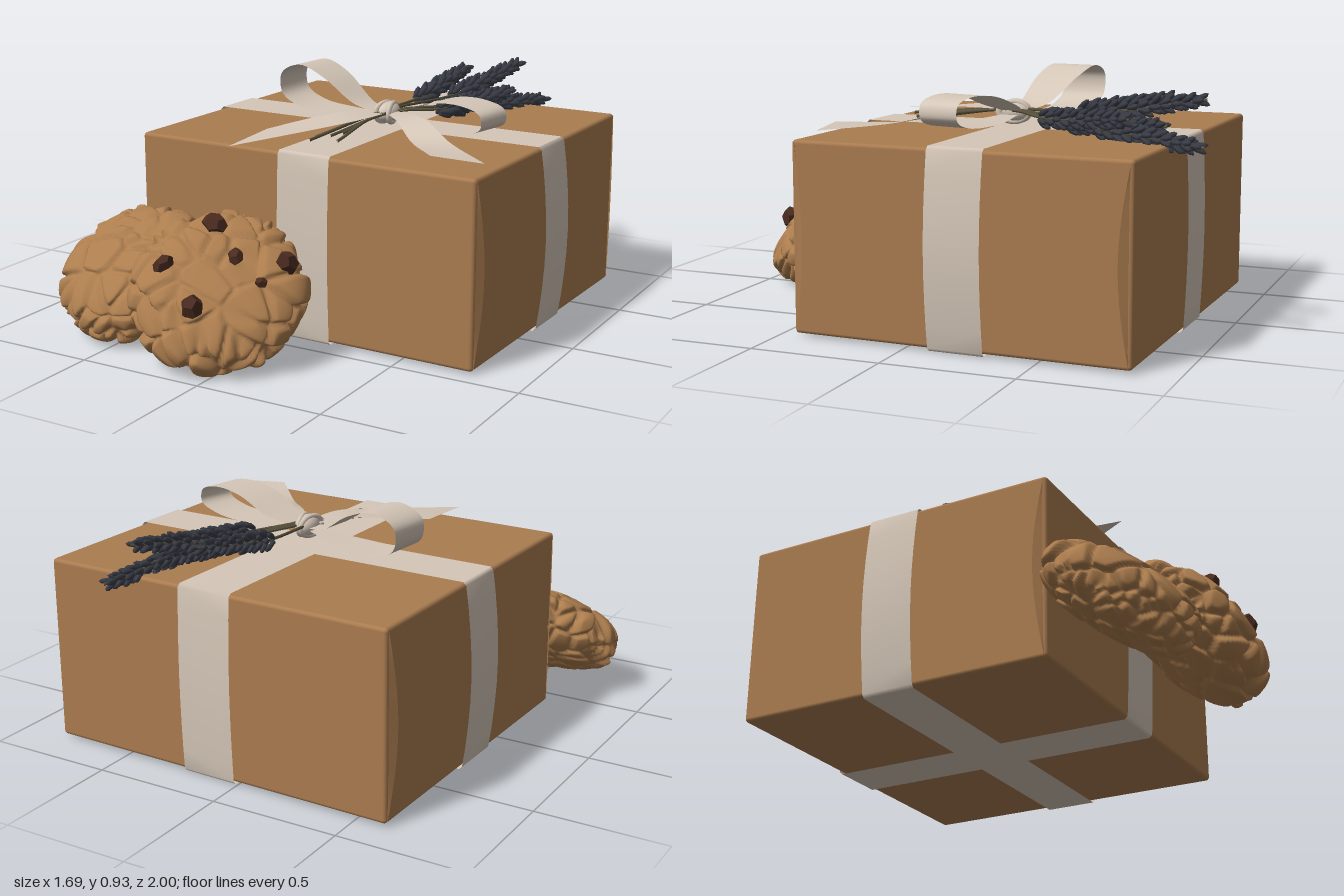
import * as THREE from 'three';
import { mergeVertices, mergeGeometries } from 'three/addons/utils/BufferGeometryUtils.js';
import { RoundedBoxGeometry } from 'three/addons/geometries/RoundedBoxGeometry.js';

const V = (x, y, z) => new THREE.Vector3(x, y, z);
const Y = V(0, 1, 0);

function material(name, color, side = THREE.FrontSide) {
  const m = new THREE.MeshStandardMaterial({ color, side });
  m.name = name;
  return m;
}

function seeded(seed) {
  return () => (seed = (seed * 16807) % 2147483647) / 2147483647;
}

function add(parent, name, geometry, mat) {
  const mesh = new THREE.Mesh(geometry, mat);
  mesh.name = name;
  parent.add(mesh);
  return mesh;
}

// Surface between two edge lines, given as equal lists of points
function sheet(a, b) {
  const pos = [], index = [];
  a.forEach((p, i) => {
    pos.push(p.x, p.y, p.z, b[i].x, b[i].y, b[i].z);
    const k = i * 2;
    if (i < a.length - 1) index.push(k, k + 1, k + 2, k + 1, k + 3, k + 2);
  });
  const g = new THREE.BufferGeometry();
  g.setAttribute('position', new THREE.Float32BufferAttribute(pos, 3));
  g.setIndex(index);
  g.computeVertexNormals();
  return g;
}
const smooth = (pts, n = 48) => new THREE.CatmullRomCurve3(pts).getPoints(n);

// Ribbon along centre points [x, y, z, half width], spread along one direction
function ribbon(path, across) {
  const edge = s => smooth(path.map(([x, y, z, w]) => V(x, y, z).addScaledVector(across, s * w)));
  return sheet(edge(1), edge(-1));
}

// Band around the box: half length a, bulging outward on the sides
function band(a, width, bulge, offset, turned) {
  const c = 0.012, top = 0.727, low = 0.003, pts = [[a - c, top], [a, top - c]];
  for (let i = 1; i < 8; i++) pts.push([a + bulge * Math.sin(i / 8 * Math.PI), top - (top - low) * i / 8]);
  pts.push([a, low + c], [a - c, low]);
  const loop = [...pts, ...pts.slice().reverse().map(([x, y]) => [-x, y]), pts[0]];
  const edge = s => loop.map(([u, y]) => turned ? V(offset + s * width / 2, y, u) : V(u, y, offset + s * width / 2));
  return sheet(edge(1), edge(-1));
}

// Cracked cookie: rounded disc with sunken lines between irregular cells
function cookieSurface(d, R, h) {
  const p = 2.5, rho = Math.hypot(d.x, d.z);
  const k = Math.pow(Math.pow(rho, p) + Math.pow(Math.abs(d.y), p), -1 / p);
  return V(d.x * R * k, d.y * h * k, d.z * R * k);
}
function cookieGeometry(R, h, seed) {
  const rnd = seeded(seed), cells = [];
  for (let i = 0; i < 85; i++) {
    const y = rnd() * 2 - 1, t = rnd() * Math.PI * 2, r = Math.sqrt(1 - y * y);
    cells.push({ p: cookieSurface(V(r * Math.cos(t), y, r * Math.sin(t)), R, h), lift: rnd() * 0.05 });
  }
  let g = new THREE.IcosahedronGeometry(1, 36);
  g.deleteAttribute('uv');
  g.deleteAttribute('normal');
  g = mergeVertices(g);
  const pos = g.attributes.position, d = V(0, 0, 0);
  for (let i = 0; i < pos.count; i++) {
    const s = cookieSurface(d.fromBufferAttribute(pos, i), R, h);
    let d1 = 9, d2 = 9, lift = 0;
    for (const c of cells) {
      const q = c.p.distanceTo(s);
      if (q < d1) { d2 = d1; d1 = q; lift = c.lift; } else if (q < d2) d2 = q;
    }
    const crack = Math.exp(-(((d2 - d1) / 0.016) ** 2));
    s.multiplyScalar(1 - 0.03 + lift * (1 - crack) - 0.07 * crack);
    pos.setXYZ(i, s.x, s.y, s.z);
  }
  g.computeVertexNormals();
  return g;
}

// Flower head: whorls of small pointed buds from base to tip
function flowerHead(base, tip, seed) {
  const rnd = seeded(seed), buds = [], axis = tip.clone().sub(base);
  const turn = new THREE.Quaternion().setFromUnitVectors(Y, axis.clone().normalize());
  const rows = 11;
  for (let i = 0; i < rows; i++) {
    const t = i / (rows - 1), count = i === rows - 1 ? 3 : 6, r = 0.027 * (1 - 0.6 * t * t);
    for (let j = 0; j < count; j++) {
      const a = (j + rnd() * 0.5 + i * 0.5) / count * Math.PI * 2;
      const out = V(Math.cos(a), 1.5 + rnd(), Math.sin(a)).normalize();
      const g = new THREE.SphereGeometry(1, 5, 4).scale(0.012, 0.034, 0.012);
      g.applyQuaternion(new THREE.Quaternion().setFromUnitVectors(Y, out));
      g.translate(Math.cos(a) * r, 0, Math.sin(a) * r).applyQuaternion(turn);
      const c = base.clone().addScaledVector(axis, t * 0.93);
      buds.push(g.translate(c.x, c.y, c.z));
    }
  }
  return mergeGeometries(buds);
}

export function createModel() {
  const model = new THREE.Group();
  model.name = 'giftBoxWithCookies';
  const paper = material('kraft paper', 0xaa7c50, THREE.DoubleSide);
  const cloth = material('cream ribbon', 0xd5c7b8, THREE.DoubleSide);
  const dough = material('cookie dough', 0xac7d4e);
  const chocolate = material('chocolate', 0x4a2b20);
  const flower = material('dried flower', 0x3a3d47);
  const stalk = material('stem', 0x5a533c);

  // Wrapped box, turned slightly
  const parcel = new THREE.Group();
  parcel.name = 'parcel';
  parcel.position.set(0.085, 0, -0.215);
  parcel.rotation.y = -0.021;
  model.add(parcel);
  add(parcel, 'box', new RoundedBoxGeometry(1.44, 0.708, 1.28, 2, 0.014), paper).position.y = 0.366;

  // Paper folds standing off the corners
  for (const sx of [-1, 1]) for (const sz of [-1, 1]) {
    const a = [], b = [];
    for (let i = 0; i <= 12; i++) {
      const t = i / 12, y = 0.02 + 0.69 * t, s = Math.sin(t * Math.PI);
      a.push(V(sx * 0.718, y, sz * 0.628));
      b.push(V(sx * (0.721 + 0.018 * s), y, sz * (0.628 - 0.035 * s)));
    }
    add(parcel, 'paperFold', sheet(a, b), paper);
  }

  // Crossing bands
  add(parcel, 'lengthBand', band(0.645, 0.22, 0.012, 0.02, true), cloth);
  add(parcel, 'crossBand', band(0.727, 0.21, 0.03, 0.0, false), cloth);

  // Bow
  const bow = new THREE.Group();
  bow.name = 'bow';
  model.add(bow);
  add(bow, 'rightLoop', ribbon([
    [0.12, 0.775, -0.16, 0.025], [0.0, 0.80, -0.19, 0.06], [-0.15, 0.89, -0.23, 0.085],
    [-0.28, 0.928, -0.26, 0.09], [-0.37, 0.885, -0.27, 0.09], [-0.365, 0.805, -0.265, 0.09],
    [-0.28, 0.762, -0.25, 0.09], [-0.1, 0.755, -0.21, 0.07], [0.12, 0.77, -0.16, 0.025],
  ], V(-0.1, 0, 1).normalize()), cloth);
  add(bow, 'leftLoop', ribbon([
    [0.14, 0.775, -0.16, 0.025], [0.25, 0.81, -0.15, 0.08], [0.4, 0.862, -0.11, 0.085],
    [0.54, 0.87, -0.075, 0.08], [0.62, 0.845, -0.06, 0.08], [0.625, 0.795, -0.06, 0.08],
    [0.55, 0.762, -0.07, 0.08], [0.35, 0.755, -0.11, 0.08], [0.14, 0.77, -0.16, 0.025],
  ], V(-0.2, 0, 1).normalize()), cloth);
  add(bow, 'rightTail', sheet(
    smooth([V(0.1, 0.785, -0.15), V(0.0, 0.79, -0.02), V(-0.09, 0.775, 0.1), V(-0.19, 0.75, 0.23)]),
    smooth([V(0.15, 0.785, -0.13), V(0.12, 0.785, 0.06), V(0.0, 0.765, 0.24), V(-0.19, 0.735, 0.5)])), cloth);
  add(bow, 'leftTail', sheet(
    smooth([V(0.13, 0.78, -0.13), V(0.25, 0.785, 0.0), V(0.4, 0.755, 0.17), V(0.58, 0.765, 0.37)]),
    smooth([V(0.17, 0.785, -0.16), V(0.35, 0.8, -0.03), V(0.55, 0.765, 0.15), V(0.78, 0.755, 0.345)])), cloth);
  const knot = add(bow, 'knot', new THREE.SphereGeometry(1, 20, 14), cloth);
  knot.scale.set(0.042, 0.042, 0.062);
  knot.position.set(0.13, 0.778, -0.16);
  for (const s of [-1, 1]) {
    const wrap = add(bow, 'knotWrap', new THREE.TorusGeometry(0.038, 0.01, 8, 24), cloth);
    wrap.position.set(0.13 + s * 0.017, 0.778, -0.16);
    wrap.rotation.y = Math.PI / 2 + s * 0.2;
    wrap.scale.x = 1.45;
  }

  // Flower sprigs tucked under the bow: cut end, head base, head tip
  const sprigs = [
    [V(0.04, 0.745, 0.30), V(0.13, 0.79, -0.44), V(0.16, 0.86, -0.83)],
    [V(0.13, 0.74, 0.25), V(0.25, 0.80, -0.52), V(0.35, 0.875, -0.96)],
    [V(0.02, 0.74, 0.22), V(0.355, 0.755, -0.58), V(0.46, 0.72, -0.98)],
    [V(0.09, 0.745, 0.14), V(0.28, 0.775, -0.34), V(0.42, 0.80, -0.70)],
    [V(0.06, 0.74, 0.18), V(0.29, 0.76, -0.45), V(0.36, 0.775, -0.82)],
  ];
  sprigs.forEach(([end, base, tip], i) => {
    const sprig = new THREE.Group();
    sprig.name = 'flowerSprig';
    model.add(sprig);
    const line = new THREE.CatmullRomCurve3([end, V(0.11 + i * 0.012, 0.785, -0.14), base, tip]);
    add(sprig, 'stem', new THREE.TubeGeometry(line, 24, 0.006, 5), stalk);
    add(sprig, 'flowerHead', flowerHead(base, tip, 31 + i * 57), flower);
  });

  // Cookies leaning against the box
  const cookies = [
    { name: 'frontCookie', at: V(-0.09, 0.255, 0.725), n: V(0.3, 0.73, 0.61), R: 0.33, h: 0.135, seed: 771 },
    { name: 'rearCookie', at: V(-0.53, 0.23, 0.635), n: V(-0.05, 0.8, 0.58), R: 0.31, h: 0.135, seed: 4242 },
  ].map(c => {
    const group = new THREE.Group();
    group.name = c.name;
    group.position.copy(c.at);
    group.quaternion.setFromUnitVectors(Y, c.n.normalize());
    add(group, 'cookieBody', cookieGeometry(c.R, c.h, c.seed), dough);
    model.add(group);
    return group;
  });

  // Chocolate chunks: x, y, z, size
  const front = cookies[0];
  front.updateMatrixWorld();
  [[-0.15, 0.47, 0.65, 0.046], [0.14, 0.36, 0.62, 0.05], [-0.24, 0.36, 0.85, 0.04],
    [-0.07, 0.25, 0.92, 0.05], [-0.01, 0.4, 0.73, 0.034], [0.11, 0.33, 0.75, 0.026]].forEach(([x, y, z, r], i) => {
    const p = front.worldToLocal(V(x, y, z));
    const rho = Math.min(Math.hypot(p.x, p.z) / 0.33, 0.92);
    p.y = 0.135 * Math.pow(1 - Math.pow(rho, 2.5), 0.4);
    const chip = add(front, 'chocolateChunk', new THREE.DodecahedronGeometry(r, 0), chocolate);
    chip.position.copy(p);
    chip.scale.set(1.1, 0.8, 0.9);
    chip.rotation.set(i, i * 1.7, i * 0.6);
  });
  return model;
}
